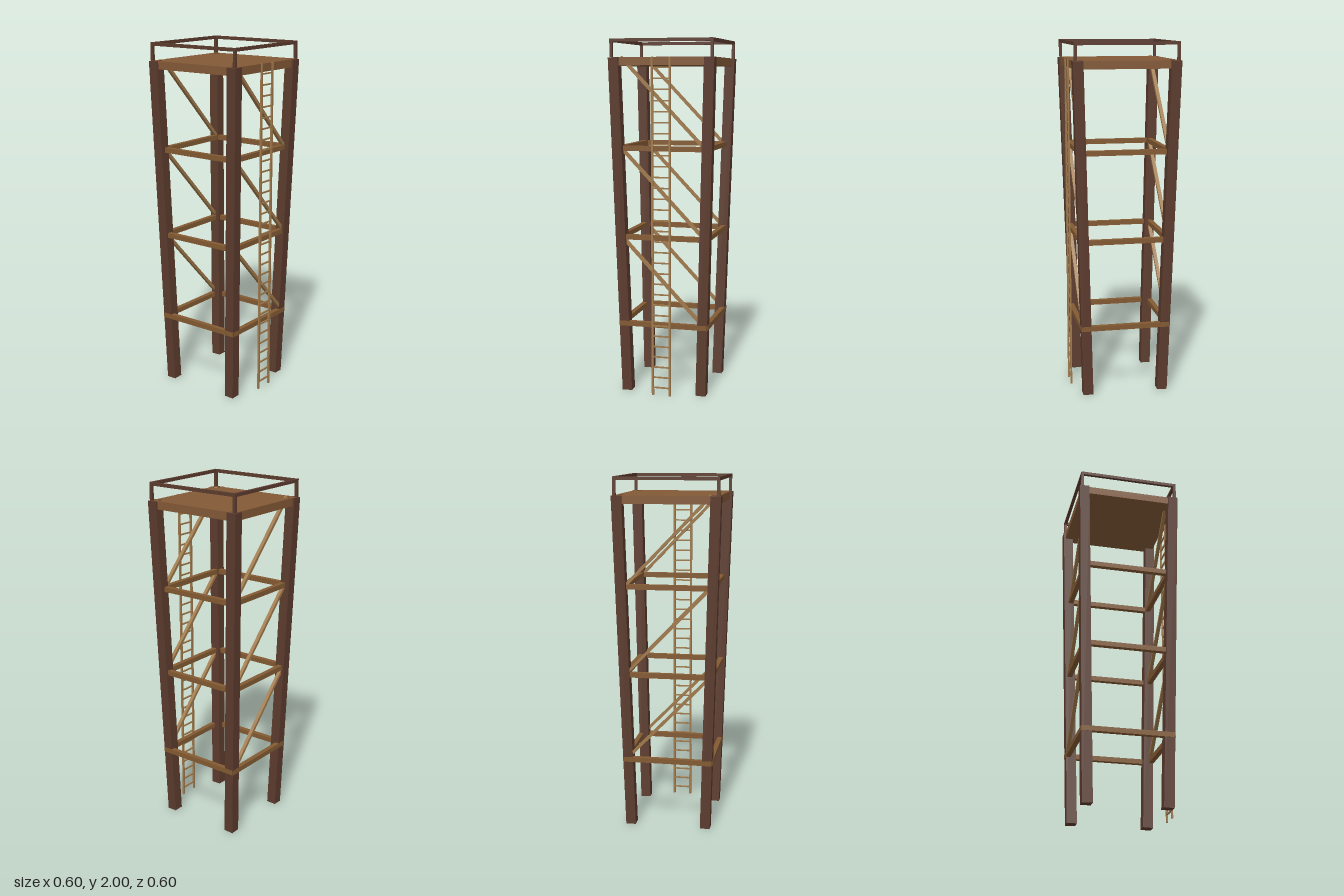
import * as THREE from 'three';

const material = (name, color) => {
  const m = new THREE.MeshStandardMaterial({ color });
  m.name = name;
  return m;
};

export function createModel() {
  const darkWood = material('dark wood', 0x5c3b2d);
  const deckWood = material('deck wood', 0x835936);
  const beamWood = material('beam wood', 0x835a32);
  const paleWood = material('pale wood', 0xa07a4c);

  const tower = new THREE.Group();
  tower.name = 'watchtower';

  const box = (name, mat, size, pos, parent = tower) => {
    const mesh = new THREE.Mesh(new THREE.BoxGeometry(...size), mat);
    mesh.name = name;
    mesh.position.set(...pos);
    parent.add(mesh);
    return mesh;
  };

  // Square timber laid from point a to point b
  const strut = (name, mat, a, b, w, d) => {
    const from = new THREE.Vector3(...a), to = new THREE.Vector3(...b);
    const dir = to.clone().sub(from);
    const mid = from.add(to).multiplyScalar(0.5);
    const mesh = box(name, mat, [w, dir.length(), d], mid.toArray());
    mesh.quaternion.setFromUnitVectors(new THREE.Vector3(0, 1, 0), dir.normalize());
  };

  // Legs splayed outward at the top, and corner posts of the railing
  for (const sx of [-1, 1]) for (const sz of [-1, 1]) {
    strut('leg', darkWood, [sx * 0.217, 0.0015, sz * 0.217], [sx * 0.27, 1.8993, sz * 0.27], 0.057, 0.057);
    box('railPost', darkWood, [0.016, 0.1, 0.016], [sx * 0.283, 1.95, sz * 0.283]);
  }

  // Platform
  box('platform', deckWood, [0.572, 0.045, 0.572], [0, 1.8775, 0]);

  for (const s of [-1, 1]) {
    // Top rails
    box('railFrontBack', darkWood, [0.582, 0.018, 0.016], [0, 1.991, s * 0.283]);
    box('railSide', darkWood, [0.016, 0.018, 0.582], [s * 0.283, 1.991, 0]);

    for (const y of [0.4, 0.9, 1.4]) {
      // Horizontal beams around the legs
      box('beamFrontBack', beamWood, [0.51, 0.028, 0.028], [0, y, s * 0.245]);
      box('beamSide', beamWood, [0.028, 0.028, 0.51], [s * 0.245, y, 0]);
      // Diagonal braces on front and back
      strut('diagonalBrace', paleWood, [-0.24, y + 0.5, s * 0.245], [0.24, y, s * 0.245], 0.017, 0.02);
    }
  }

  // Ladder on the front
  const ladder = new THREE.Group();
  ladder.name = 'ladder';
  tower.add(ladder);
  for (const s of [-1, 1]) box('ladderStile', paleWood, [0.012, 1.9, 0.01], [s * 0.05, 0.95, 0.288], ladder);
  for (let i = 0; i < 31; i++) {
    box('ladderRung', paleWood, [0.1, 0.008, 0.008], [0, 0.045 + i * 0.06, 0.288], ladder);
  }

  return tower;
}
